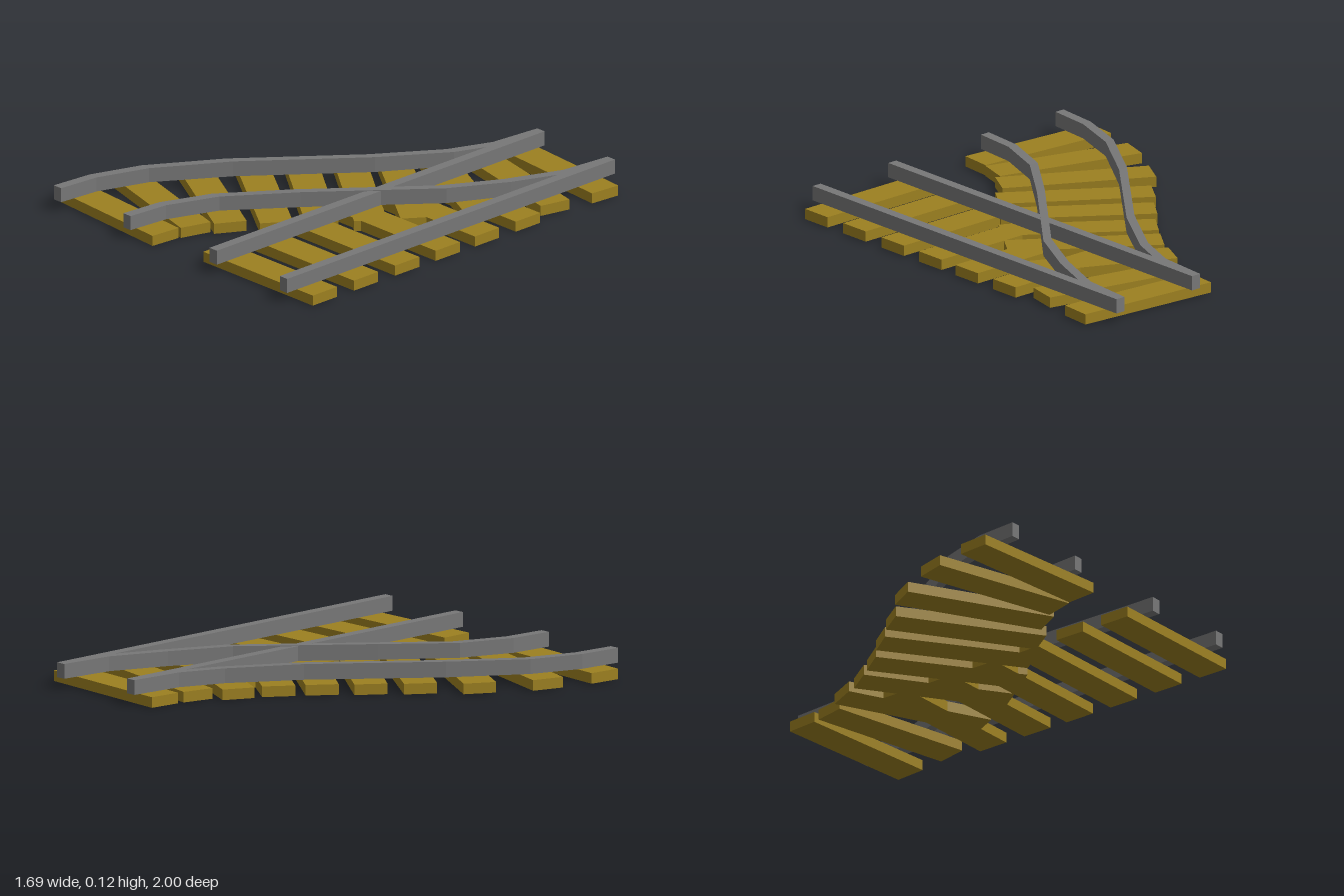
import * as THREE from 'three';

const TIE_BOTTOM = 0.018, TIE_TOP = 0.066, RAIL_TOP = 0.133, HALF = 0.0235;
const wood = new THREE.MeshStandardMaterial({ color: 0x9c8020, flatShading: true });
const steel = new THREE.MeshStandardMaterial({ color: 0x777777, flatShading: true });

// Rectangular bar swept through points [x, z, top], listed from back to front
function rail(name, points) {
  const pos = [], idx = [];
  for (const [x, z, top = RAIL_TOP] of points) {
    pos.push(x - HALF, TIE_TOP, z, x + HALF, TIE_TOP, z, x + HALF, top, z, x - HALF, top, z);
  }
  for (let i = 0; i < points.length - 1; i++) {
    for (let k = 0; k < 4; k++) {
      const a = i * 4 + k, b = i * 4 + (k + 1) % 4;
      idx.push(a, b, b + 4, a, b + 4, a + 4);
    }
  }
  const e = (points.length - 1) * 4;
  idx.push(0, 2, 1, 0, 3, 2, e, e + 1, e + 2, e, e + 2, e + 3);
  const geo = new THREE.BufferGeometry();
  geo.setAttribute('position', new THREE.Float32BufferAttribute(pos, 3));
  geo.setIndex(idx);
  const flat = geo.toNonIndexed();
  flat.computeVertexNormals();
  const mesh = new THREE.Mesh(flat, steel);
  mesh.name = name;
  return mesh;
}

function tie(name, x, z, length, degrees = 0) {
  const mesh = new THREE.Mesh(new THREE.BoxGeometry(length, TIE_TOP - TIE_BOTTOM, 0.148), wood);
  mesh.position.set(x, (TIE_TOP + TIE_BOTTOM) / 2, z);
  mesh.rotation.y = -THREE.MathUtils.degToRad(degrees);
  mesh.name = name;
  return mesh;
}

export function createModel() {
  const model = new THREE.Group();
  model.name = 'railSwitch';

  // Straight track
  for (const z of [0.865, 0.614, 0.363, 0.115, -0.124, -0.373]) {
    model.add(tie('straightTie', 0.4825, z, 0.701));
  }
  model.add(rail('straightRailRight', [[0.259, -1], [0.259, 1]]));
  model.add(rail('straightRailLeft', [[0.709, -1], [0.709, 1]]));

  // Diverging track: tie centre x, z and turn
  const branchTies = [
    [0.489, -0.872, 5], [0.454, -0.652, 12.6], [0.326, -0.424, 26], [0.214, -0.214, 34.8],
    [0.098, -0.05, 36], [-0.042, 0.114, 36], [-0.177, 0.275, 34.4], [-0.334, 0.447, 29.5],
    [-0.448, 0.652, 16.5], [-0.495, 0.872, 5],
  ];
  for (const [x, z, turn] of branchTies) model.add(tie('branchTie', x, z, 0.696, turn));

  // S-curved rails, slightly raised where they cross the straight ones
  const high = RAIL_TOP + 0.004;
  model.add(rail('branchRailRight', [
    [0.259, -1], [0.237, -0.75], [0.156, -0.545], [-0.034, -0.245, high],
    [-0.431, 0.243, high], [-0.638, 0.56], [-0.72, 0.8], [-0.738, 1],
  ]));
  model.add(rail('branchRailLeft', [
    [0.709, -1], [0.684, -0.75], [0.58, -0.49], [0.443, -0.225, high],
    [0.034, 0.27, high], [-0.186, 0.56], [-0.276, 0.8], [-0.293, 1],
  ]));
  return model;
}
